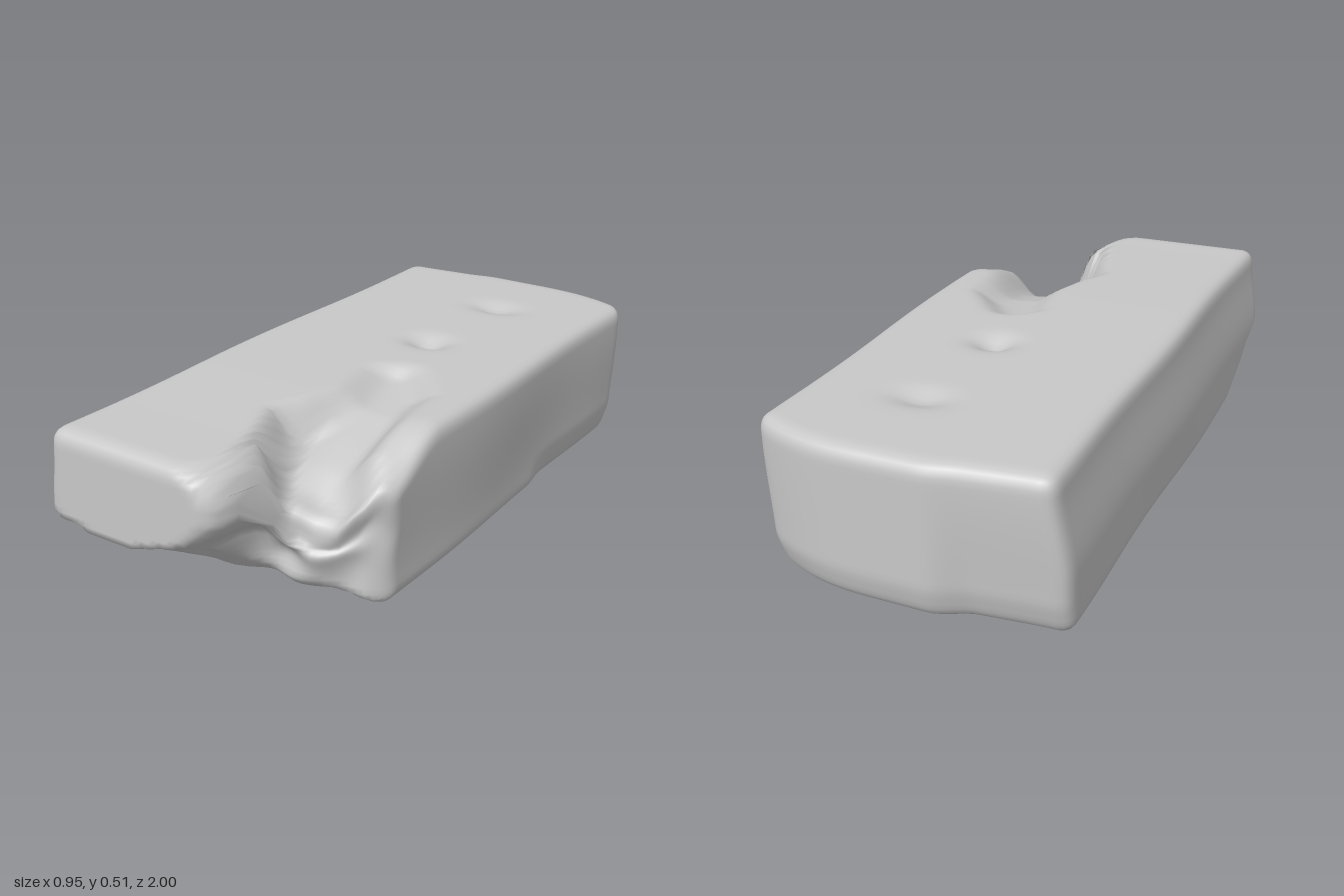
import * as THREE from 'three';
import { mergeVertices } from 'three/addons/utils/BufferGeometryUtils.js';

const { clamp, smoothstep, lerp } = THREE.MathUtils;

// Piecewise linear curve through [input, output] pairs
function curve(pairs, v) {
  if (v <= pairs[0][0]) return pairs[0][1];
  for (let i = 1; i < pairs.length; i++) {
    const [a, b] = [pairs[i - 1], pairs[i]];
    if (v <= b[0]) return lerp(a[1], b[1], (v - a[0]) / (b[0] - a[0]));
  }
  return pairs[pairs.length - 1][1];
}

const bump = (x, z, cx, cz, rx, rz) => Math.exp(-(((x - cx) / rx) ** 2) - ((z - cz) / rz) ** 2);

// Irregular chipping for broken faces
const rough = (x, y, z) =>
  0.5 * Math.sin(17 * x + 7 * y + 1.3) * Math.sin(15 * y - 9 * x + 0.4) +
  0.2 * Math.sin(31 * x - 13 * z + 2) * Math.sin(27 * y + 9 * z);

// How far the front end reaches: undercut below, snapped corner on the left
const underside = [[0.025, 0.62], [0.06, 0.68], [0.1, 0.76], [0.13, 0.83], [0.18, 0.9], [0.22, 1]];
const lipLift = [[-0.46, 0.015], [-0.3, -0.015], [-0.15, -0.015], [0, 0.03], [0.12, 0.07]];
const corner = [[0.1, 1], [0.14, 0.98], [0.165, 0.93], [0.185, 0.81], [0.22, 0.75], [0.3, 0.7], [0.4, 0.65], [0.46, 0.61]];
const lipX = [[0.15, 0.03], [0.25, 0.06], [0.3, 0.12], [0.35, 0.16], [0.41, 0.16], [0.46, 0.13], [0.5, 0.07]];
function frontReach(x, y) {
  const lift = curve(lipLift, x) * smoothstep(y, 0.05, 0.2);
  const shift = (0.16 - curve(lipX, y)) * (1 - smoothstep(x, 0.1, 0.3));
  const reach = Math.min(curve(underside, y - lift), curve(corner, x + shift));
  const broken = smoothstep(1 - reach, 0, 0.15);
  const leftFoot = 0.04 * smoothstep(-x, 0.2, 0.46) * (1 - smoothstep(y, 0.05, 0.12));
  return reach - leftFoot + 0.04 * broken * rough(x, y, 0) * (1 - 0.7 * smoothstep(Math.abs(x), 0.35, 0.46));
}

// Hollow worn into the top behind the snapped corner
const gougeLeft = [[0.02, 0.1], [0.1, 0.02], [0.3, 0.05], [0.42, 0.02], [0.52, -0.03], [0.62, 0.02], [0.72, 0.07], [0.85, 0.17]];
const gougeRight = [[0.02, 0.22], [0.2, 0.36], [0.45, 0.38], [0.55, 0.39], [0.65, 0.45]];
const gougeDepth = [[0, 0], [0.07, 0.04], [0.3, 0.06], [0.45, 0.1], [0.55, 0.13], [0.65, 0.18], [0.75, 0.19]];
function gouge(x, z) {
  const l = curve(gougeLeft, z), r = curve(gougeRight, z);
  const across = smoothstep(x, l, l + 0.12) * (1 - smoothstep(x, r - 0.13, r));
  const chip = smoothstep(z, 0.36, 0.64) * smoothstep(x, 0.28, 0.45);
  return across * curve(gougeDepth, z) * (1 + 0.25 * rough(x, 0.3, z)) + 0.11 * chip;
}

function blockGeometry() {
  const half = new THREE.Vector3(0.46, 0.2375, 1), radius = 0.045;
  let geo = new THREE.BoxGeometry(0.92, 0.475, 2, 44, 26, 84);
  geo.deleteAttribute('normal');
  geo.deleteAttribute('uv');
  geo = mergeVertices(geo);
  const pos = geo.attributes.position;
  const p = new THREE.Vector3(), inner = new THREE.Vector3();
  const low = half.clone().subScalar(radius).negate(), high = low.clone().negate();
  for (let i = 0; i < pos.count; i++) {
    // Rounded edges
    p.fromBufferAttribute(pos, i);
    inner.copy(p).clamp(low, high);
    p.sub(inner).normalize().multiplyScalar(radius).add(inner);
    let { x, y, z } = p;
    y += 0.2615;

    // Ends: broken front, back with a shallow step that deepens downwards
    if (z > 0) z *= frontReach(x, y);
    else {
      const step = lerp(0.04, 0.015, smoothstep(y, 0.05, 0.45));
      z *= 1 - step * (1 - smoothstep(x, -0.2, -0.07)) - 0.03 * smoothstep(-x, 0.08, 0.46)
        - 0.09 * clamp((x - 0.1) / 0.36, 0, 1) ** 2.5 - 0.018 * (1 - smoothstep(y, 0.03, 0.14));
    }

    // Top hollows and dents
    const top = smoothstep(y, 0.12, 0.49);
    const dents = 0.025 * bump(x, z, 0.1, -0.64, 0.08, 0.05) + 0.04 * bump(x, z, 0.08, -0.2, 0.06, 0.05);
    y -= top * (gouge(x, z) + dents);
    y += top * (0.012 * (1 - smoothstep(z, 0.2, 0.9)) - 0.006 * x / 0.46);

    // Bumps and pits underneath
    const bottom = 1 - smoothstep(y, 0.03, 0.2);
    y -= bottom * (0.023 * bump(x, z, -0.17, -0.17, 0.06, 0.1) + 0.015 * bump(x, z, 0.07, -0.55, 0.1, 0.14));
    y += bottom * (0.03 * bump(x, z, -0.18, -0.34, 0.08, 0.07) + 0.03 * bump(x, z, -0.03, -0.72, 0.08, 0.06)
      + 0.03 * bump(x, z, 0.24, 0.02, 0.04, 0.04) + 0.03 * bump(x, z, 0, 0.38, 0.05, 0.05));

    // Slightly leaning, wavy sides, tucked in low down towards the back right
    const side = clamp(x / 0.46, -1, 1);
    const tuck = 0.02 * smoothstep(-z, 0.25, 0.4) * (1 - smoothstep(y, 0.03, 0.15));
    x += Math.abs(side) * (side > 0
      ? 0.014 * smoothstep(y, 0.1, 0.43) - 0.004 - tuck
      : 0.035 * smoothstep(y, 0.2, 0.5) - 0.012) + 0.005 * side * Math.sin(6 * z + 3 * y);
    pos.setXYZ(i, x, Math.max(0, y), z);
  }
  geo.computeVertexNormals();
  return geo;
}

export function createModel() {
  const group = new THREE.Group();
  group.name = 'brokenBrick';
  const stone = new THREE.MeshStandardMaterial({ color: 0xc8c8c8 });
  stone.name = 'greyStone';
  const block = new THREE.Mesh(blockGeometry(), stone);
  block.name = 'brickBlock';
  group.add(block);
  return group;
}
